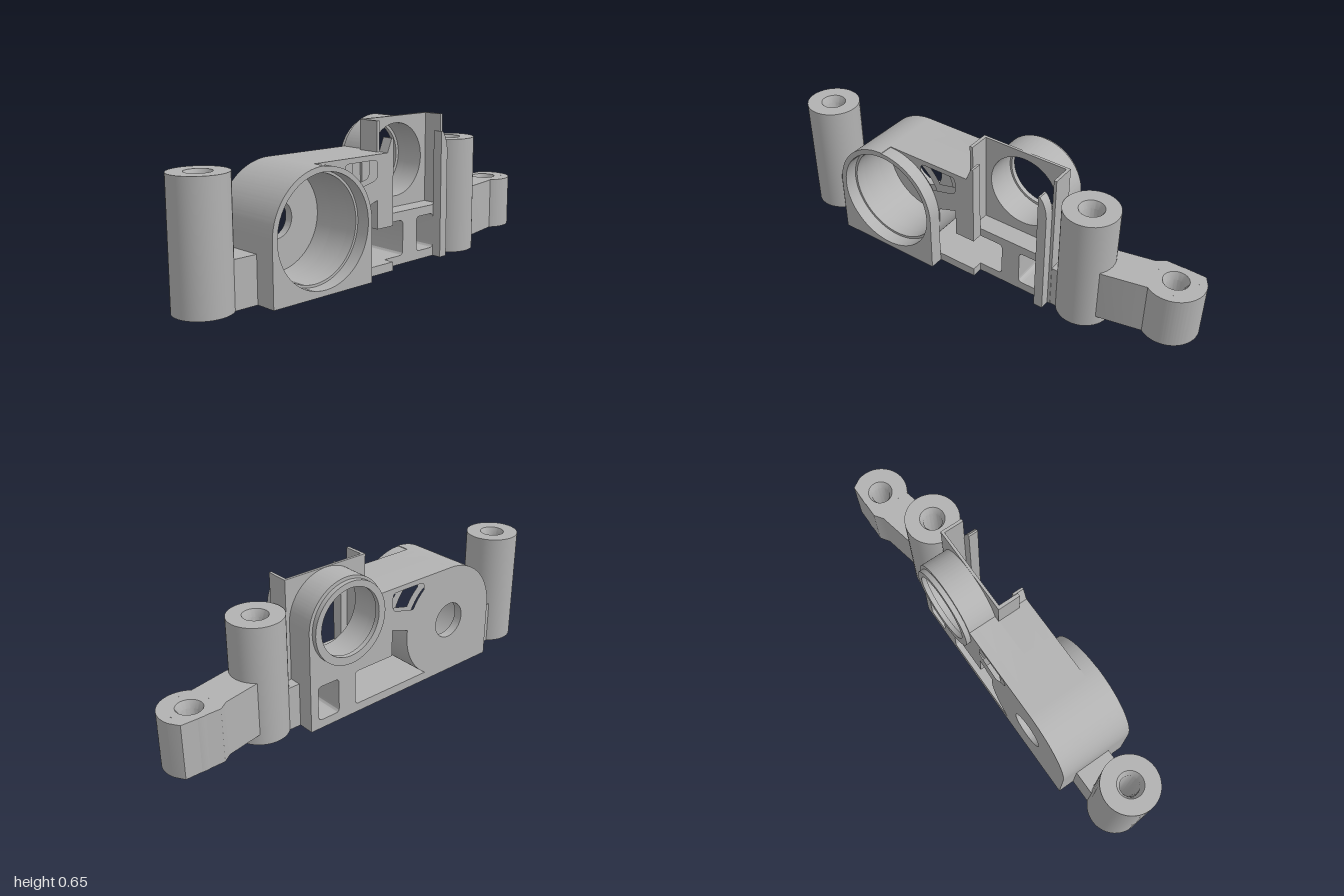
import * as THREE from 'three';
import { toCreasedNormals } from 'three/addons/utils/BufferGeometryUtils.js';

const PI = Math.PI;
const BARREL = [-0.43, 0.26]; // centre of the large bore
const RING = [0.175, 0.455];  // centre of the small ring

export function createModel() {
  const group = new THREE.Group();
  const grey = new THREE.MeshStandardMaterial({ color: 0xb2b2b2 });

  const add = (name, geometry) => {
    const mesh = new THREE.Mesh(toCreasedNormals(geometry, 0.5), grey);
    mesh.name = name;
    group.add(mesh);
    return mesh;
  };
  const box = (name, x0, x1, y0, y1, z0, z1) =>
    add(name, new THREE.BoxGeometry(x1 - x0, y1 - y0, z1 - z0)
      .translate((x0 + x1) / 2, (y0 + y1) / 2, (z0 + z1) / 2));
  const slab = (name, shape, holes, z0, z1) => {
    shape.holes = holes;
    return add(name, new THREE.ExtrudeGeometry(shape,
      { depth: z1 - z0, bevelEnabled: false, curveSegments: 40 }).translate(0, 0, z0));
  };
  const lines = (path, points) => {
    points.forEach(([x, y]) => path.lineTo(x, y));
    return path;
  };
  const circle = ([x, y], r, Type = THREE.Path) => {
    const path = new Type();
    path.absarc(x, y, r, 0, PI * 2, false);
    return path;
  };
  // Closed polygon with rounded corners
  const rounded = (points, r) => {
    const path = new THREE.Path();
    const v = points.map((p) => new THREE.Vector2(...p));
    v.forEach((p, i) => {
      const toward = (q) => q.clone().sub(p).setLength(r).add(p);
      const a = toward(v[(i + v.length - 1) % v.length]);
      const b = toward(v[(i + 1) % v.length]);
      if (i) path.lineTo(a.x, a.y); else path.moveTo(a.x, a.y);
      path.quadraticCurveTo(p.x, p.y, b.x, b.y);
    });
    path.closePath();
    return path;
  };

  // Left side and arched top shared by every body layer
  const archStart = () => {
    const s = new THREE.Shape();
    s.moveTo(-0.69, 0);
    s.lineTo(-0.69, 0.26);
    s.absarc(...BARREL, 0.26, PI, PI / 2, true);
    return s;
  };

  // Openings in the frame
  const bore = () => circle(BARREL, 0.225);
  const upperOpening = () => {
    const p = new THREE.Path();
    p.absarc(...BARREL, 0.262, 0.5, 0.87, false);
    p.quadraticCurveTo(-0.27, 0.497, -0.24, 0.497);
    p.lineTo(-0.1, 0.497);
    p.quadraticCurveTo(-0.08, 0.497, -0.08, 0.475);
    p.lineTo(-0.08, 0.44);
    p.quadraticCurveTo(-0.08, 0.415, -0.1, 0.41);
    p.closePath();
    return p;
  };
  const middleOpening = () => {
    const p = new THREE.Path();
    p.absarc(...BARREL, 0.262, 0.134, -0.997, true);
    lines(p, [[0.11, 0.04]]);
    p.quadraticCurveTo(0.13, 0.04, 0.13, 0.06);
    p.lineTo(0.13, 0.18);
    p.quadraticCurveTo(0.13, 0.2, 0.11, 0.2);
    lines(p, [[-0.08, 0.2], [-0.08, 0.325]]);
    p.closePath();
    return p;
  };
  const smallOpening = () =>
    rounded([[0.22, 0.04], [0.33, 0.04], [0.33, 0.2], [0.22, 0.2]], 0.02);
  const openings = () => [upperOpening(), middleOpening(), smallOpening()];

  // Back of the body, with the ring housing rising above it
  const backOutline = () => {
    const s = archStart();
    s.lineTo(-0.009, 0.52);
    s.absarc(...RING, 0.195, PI - 0.34, 0, true);
    return lines(s, [[0.37, 0], [-0.69, 0]]);
  };
  const ringBore = () => circle(RING, 0.165);
  slab('bodyBackWall', backOutline(),
    [circle(BARREL, 0.083), ringBore(), ...openings()], -0.16, -0.12);
  slab('bodyBack', backOutline(), [bore(), ringBore(), ...openings()], -0.12, -0.03);

  // Middle of the body, cut away in front of the ring
  slab('bodyMiddle',
    lines(archStart(), [[-0.02, 0.52], [-0.02, 0.24], [0.37, 0.24], [0.37, 0], [-0.69, 0]]),
    [bore(), ...openings()], -0.03, 0.07);

  // Front of the body, ending in the left guide lip
  const front = lines(archStart(), [[-0.02, 0.52], [0.005, 0.58], [0.015, 0.58],
    [0.015, 0.2], [-0.08, 0.2], [-0.08, 0.325]]);
  front.absarc(...BARREL, 0.262, 0.134, -0.997, true);
  lines(front, [[0.015, 0.04], [0.015, 0], [-0.69, 0]]);
  slab('bodyFront', front, [bore(), upperOpening()], 0.07, 0.12);

  // Raised rim of the large bore
  const rim = archStart();
  rim.absarc(...BARREL, 0.257, PI / 2, 0, true);
  lines(rim, [[-0.173, 0], [-0.69, 0]]);
  slab('barrelRim', rim, [circle(BARREL, 0.236)], 0.12, 0.182);

  // Flange behind the small ring
  slab('ringFlange', circle([0.17, 0.45], 0.185, THREE.Shape),
    [circle([0.172, 0.455], 0.153)], -0.182, -0.16);

  // Square bracket around the ring
  const panel = lines(new THREE.Shape().moveTo(-0.035, 0.24),
    [[0.385, 0.24], [0.385, 0.652], [-0.035, 0.652]]);
  slab('bracketPanel', panel, [ringBore()], -0.032, -0.02);
  box('bracketWingLeft', 0.372, 0.385, 0, 0.652, -0.032, 0.072);
  box('bracketWingRight', -0.035, -0.02, 0.5, 0.652, -0.032, 0.072);

  // Tall guide lip with a curved tip
  const lip = new THREE.Shape();
  lines(lip.moveTo(0.33, 0), [[0.33, 0.58], [0.338, 0.58]]);
  lip.quadraticCurveTo(0.368, 0.55, 0.372, 0.49);
  lines(lip, [[0.372, 0], [0.33, 0]]);
  slab('guideLip', lip, [], 0.07, 0.115);

  // Screw posts with chamfered through holes
  const post = (name, x, y, z, r, h) => {
    const profile = [[0.04, 0.03], [0.055, 0], [r, 0], [r, h], [0.055, h],
      [0.04, h - 0.03], [0.04, 0.03]].map((p) => new THREE.Vector2(...p));
    add(name, new THREE.LatheGeometry(profile, 48)).position.set(x, y, z);
  };
  post('postRight', -0.88, 0, 0, 0.12, 0.532);
  post('postLeft', 0.51, 0, 0, 0.12, 0.532);
  box('postRightLink', -0.8, -0.68, 0, 0.2, -0.085, 0.085);
  box('postLeftLink', 0.37, 0.43, 0, 0.2, -0.085, 0.07);

  // Side arm with its own screw eye
  const arm = new THREE.Shape();
  lines(arm.moveTo(0.58, 0.095), [[0.75, 0.13], [0.79, 0.158], [0.965, 0.158]]);
  arm.absarc(0.875, 0.07, 0.125, 0.38, -2.2, true);
  lines(arm, [[0.62, -0.07], [0.58, -0.07]]);
  arm.holes = [circle([0.875, 0.07], 0.09)];
  add('sideArm', new THREE.ExtrudeGeometry(arm,
    { depth: 0.24, bevelEnabled: false, curveSegments: 40 })
    .rotateX(-PI / 2).translate(0, 0.05, 0));
  post('sideArmEye', 0.875, 0.05, -0.07, 0.09, 0.24);

  return group;
}
